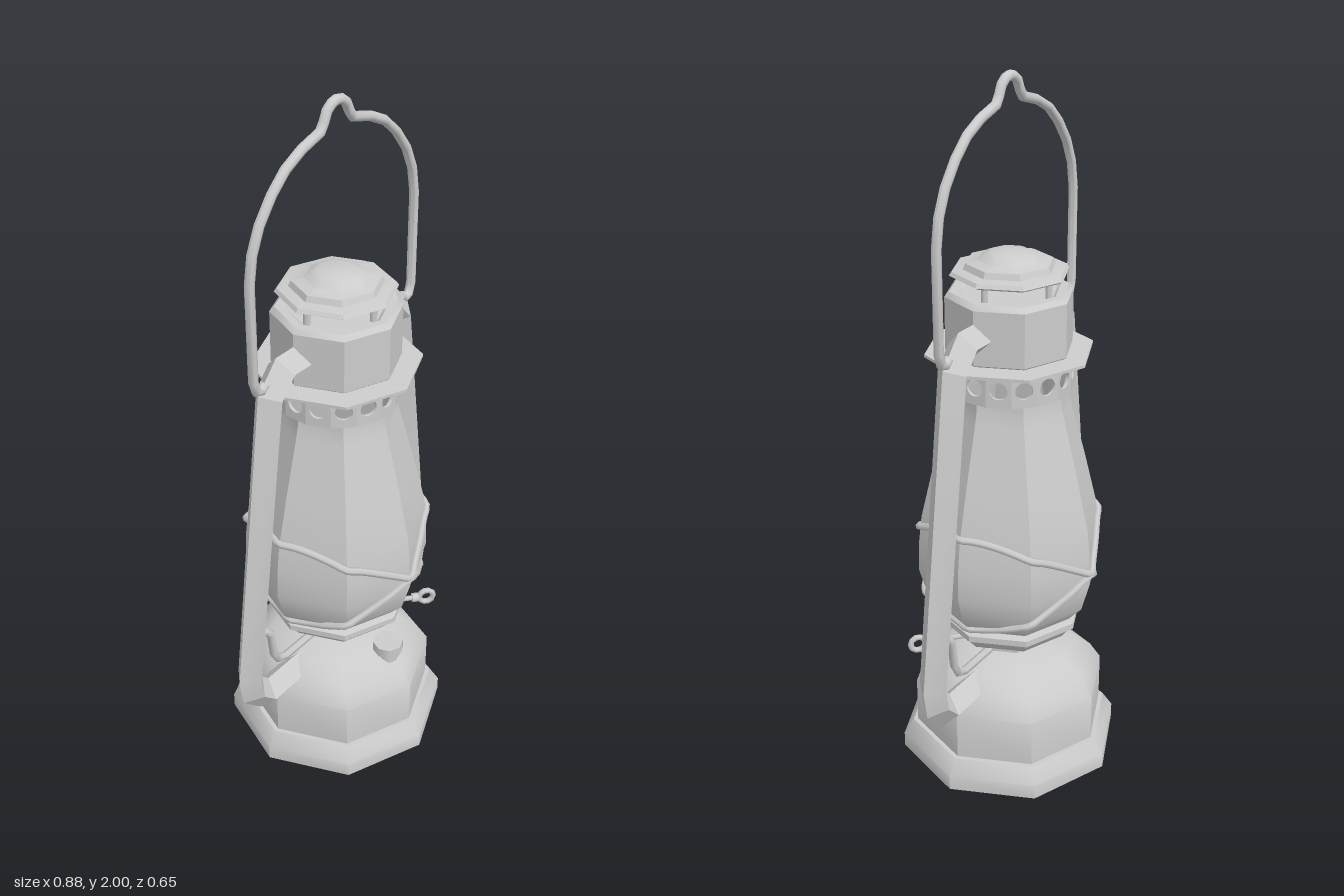
import * as THREE from 'three';
import { toCreasedNormals } from 'three/addons/utils/BufferGeometryUtils.js';

const grey = new THREE.MeshStandardMaterial({ color: 0xcccccc, side: THREE.DoubleSide });
const SIDES = 8;

function add(parent, name, geometry) {
  const mesh = new THREE.Mesh(geometry, grey);
  mesh.name = name;
  parent.add(mesh);
  return mesh;
}

// Eight-sided turned part; profile points are [radius, height], bottom to top
function turned(profile, crease = 0.6) {
  const points = profile.map(([r, y]) => new THREE.Vector2(r, y));
  return toCreasedNormals(new THREE.LatheGeometry(points, SIDES), crease);
}

// Mitred bar with a regular cross-section along a path in the xy plane
function bar(path, radius, sides, crease) {
  const pts = path.map(([x, y]) => new THREE.Vector2(x, y));
  const pos = [], index = [], last = pts.length - 1;
  pts.forEach((p, i) => {
    const before = p.clone().sub(pts[Math.max(i - 1, 0)]).normalize();
    const after = pts[Math.min(i + 1, last)].clone().sub(p).normalize();
    const t = before.clone().add(after).normalize();
    const miter = 1 / Math.max(t.dot(i < last ? after : before), 0.5);
    for (let j = 0; j < sides; j++) {
      const a = (j / sides) * Math.PI * 2;
      const n = radius * miter * Math.cos(a);
      pos.push(p.x + t.y * n, p.y - t.x * n, radius * Math.sin(a));
    }
  });
  for (let j = 0; j < sides; j++) {
    const k = (j + 1) % sides;
    for (let i = 0; i < last; i++) {
      const a = i * sides + j, b = i * sides + k;
      index.push(a, a + sides, b, b, a + sides, b + sides);
    }
    if (j > 0 && k > 0) {
      index.push(0, j, k, last * sides, last * sides + k, last * sides + j);
    }
  }
  const g = new THREE.BufferGeometry();
  g.setAttribute('position', new THREE.Float32BufferAttribute(pos, 3));
  g.setIndex(index);
  return toCreasedNormals(g, crease);
}

const glassProfile = [
  [0.15, 0.46], [0.2, 0.475], [0.24, 0.52], [0.265, 0.61], [0.262, 0.7], [0.253, 0.78],
  [0.217, 0.93], [0.172, 1.1], [0.163, 1.14], [0.163, 1.18],
];

function glassRadius(y) {
  const i = glassProfile.findIndex((p) => p[1] >= y);
  const [r0, y0] = glassProfile[i - 1], [r1, y1] = glassProfile[i];
  return r0 + ((r1 - r0) * (y - y0)) / (y1 - y0);
}

// Tilted wire hoop that follows the flat panels of the glass
function guardWire(tilt) {
  const points = [], steps = 48, half = Math.PI / SIDES;
  for (let i = 0; i < steps; i++) {
    const a = (i / steps) * Math.PI * 2;
    const y = 0.645 + tilt * Math.sin(a);
    const local = (a % (2 * half)) - half;
    const r = (glassRadius(y) * Math.cos(half)) / Math.cos(local) + 0.004;
    points.push(new THREE.Vector3(r * Math.sin(a), y, r * Math.cos(a)));
  }
  const curve = new THREE.CatmullRomCurve3(points, true);
  return new THREE.TubeGeometry(curve, 96, 0.011, 6, true);
}

// Ring of sixteen flat panels, each with a round vent
function ventRing(parent) {
  const ring = new THREE.Group();
  ring.name = 'ventRing';
  const count = 16, r = 0.172, h = 0.095, w = 2 * r * Math.tan(Math.PI / count);
  const shape = new THREE.Shape([
    new THREE.Vector2(-w / 2, -h / 2), new THREE.Vector2(w / 2, -h / 2),
    new THREE.Vector2(w / 2, h / 2), new THREE.Vector2(-w / 2, h / 2),
  ]);
  shape.holes.push(new THREE.Path().absarc(0, 0, 0.024, 0, Math.PI * 2, true));
  const panel = new THREE.ExtrudeGeometry(shape, { depth: 0.008, bevelEnabled: false, curveSegments: 10 });
  panel.translate(0, 0, r - 0.008);
  for (let i = 0; i < count; i++) {
    const mesh = add(ring, 'ventPanel', panel);
    mesh.position.y = 1.212;
    mesh.rotation.y = (i / count) * Math.PI * 2;
  }
  parent.add(ring);
}

export function createModel() {
  const lantern = new THREE.Group();
  lantern.name = 'lantern';

  // Fuel tank with a hollow underside
  add(lantern, 'tank', turned([
    [0, 0.06], [0.2, 0.045], [0.29, 0], [0.325, 0], [0.325, 0.045], [0.295, 0.09], [0.282, 0.09],
    [0.282, 0.23], [0.25, 0.28], [0.195, 0.323], [0.11, 0.35], [0, 0.355],
  ], 0.7));

  // Burner: neck, bowl and plate
  add(lantern, 'burnerNeck', turned([[0.1, 0.34], [0.1, 0.39]]));
  add(lantern, 'burnerBowl', turned([
    [0, 0.385], [0.13, 0.385], [0.18, 0.41], [0.2, 0.44], [0.19, 0.445],
    [0.215, 0.447], [0.215, 0.465], [0.19, 0.473], [0, 0.473],
  ]));

  // Glass globe and its crossed guard wires
  add(lantern, 'globe', turned(glassProfile, 0.5));
  for (const tilt of [0.15, -0.15]) add(lantern, 'guardWire', guardWire(tilt));

  // Vents, flange and chimney
  ventRing(lantern);
  add(lantern, 'flange', turned([[0.15, 1.258], [0.232, 1.26], [0.232, 1.268], [0.15, 1.272]]));
  add(lantern, 'chimney', turned([
    [0.16, 1.262], [0.175, 1.275], [0.175, 1.425], [0.162, 1.438], [0.14, 1.438], [0.13, 1.43], [0, 1.43],
  ]));

  // Stepped cap on four posts
  for (let i = 0; i < 4; i++) {
    const a = (i / 4) * Math.PI * 2;
    const post = add(lantern, 'capPost', new THREE.CylinderGeometry(0.01, 0.01, 0.06, 6));
    post.position.set(0.12 * Math.sin(a), 1.455, 0.12 * Math.cos(a));
  }
  add(lantern, 'cap', turned([
    [0, 1.475], [0.15, 1.475], [0.162, 1.482], [0.155, 1.492], [0.125, 1.496], [0.118, 1.512],
    [0.085, 1.518], [0.066, 1.532], [0.05, 1.538], [0, 1.54],
  ], 0.5));

  // Side arms and lift wires, turned half round for the other side
  const armPath = [[0.1, 1.345], [0.222, 1.345], [0.272, 1.29], [0.393, 0.4], [0.382, 0.335], [0.335, 0.287], [0.17, 0.287]];
  const wirePath = [[0.36, 0.525], [0.325, 0.52], [0.3, 0.495], [0.29, 0.41], [0.27, 0.375], [0.24, 0.363], [0.04, 0.363]];
  const armGeometry = bar(armPath, 0.044, 4, 0.4);
  const wireGeometry = bar(wirePath, 0.012, 6, 1.2);
  for (const turn of [0, Math.PI]) {
    add(lantern, 'sideArm', armGeometry).rotation.y = turn;
    add(lantern, 'liftWire', wireGeometry).rotation.y = turn;
  }

  // Carrying handle with a small loop at the top
  const half = [
    [0.285, 1.335], [0.3, 1.322], [0.318, 1.328], [0.328, 1.36], [0.328, 1.63], [0.315, 1.705], [0.286, 1.77],
    [0.24, 1.83], [0.19, 1.875], [0.13, 1.905], [0.062, 1.925], [0.048, 1.945], [0.036, 1.97], [0.018, 1.983],
  ];
  const handlePath = [...half, [0, 1.987], ...half.map(([x, y]) => [-x, y]).reverse()];
  add(lantern, 'handle', bar(handlePath, 0.013, 8, 1.2));

  // Filler cap on the front of the tank
  const filler = new THREE.Group();
  filler.name = 'fillerCap';
  add(filler, 'fillerNeck', new THREE.CylinderGeometry(0.032, 0.032, 0.05, 8)).position.y = 0.315;
  add(filler, 'fillerLid', new THREE.CylinderGeometry(0.045, 0.045, 0.03, 8)).position.y = 0.345;
  filler.position.z = 0.195;
  lantern.add(filler);

  // Wick knob: shaft, collar and ring
  const knob = new THREE.Group();
  knob.name = 'wickKnob';
  const shaft = add(knob, 'knobShaft', new THREE.CylinderGeometry(0.008, 0.008, 0.2, 6));
  shaft.rotation.z = Math.PI / 2;
  shaft.position.x = 0.16;
  const collar = add(knob, 'knobCollar', new THREE.CylinderGeometry(0.014, 0.014, 0.02, 8));
  collar.rotation.z = Math.PI / 2;
  collar.position.x = 0.245;
  add(knob, 'knobRing', new THREE.TorusGeometry(0.022, 0.009, 6, 10)).position.x = 0.28;
  knob.position.y = 0.377;
  knob.rotation.y = -0.69;
  lantern.add(knob);

  return lantern;
}
